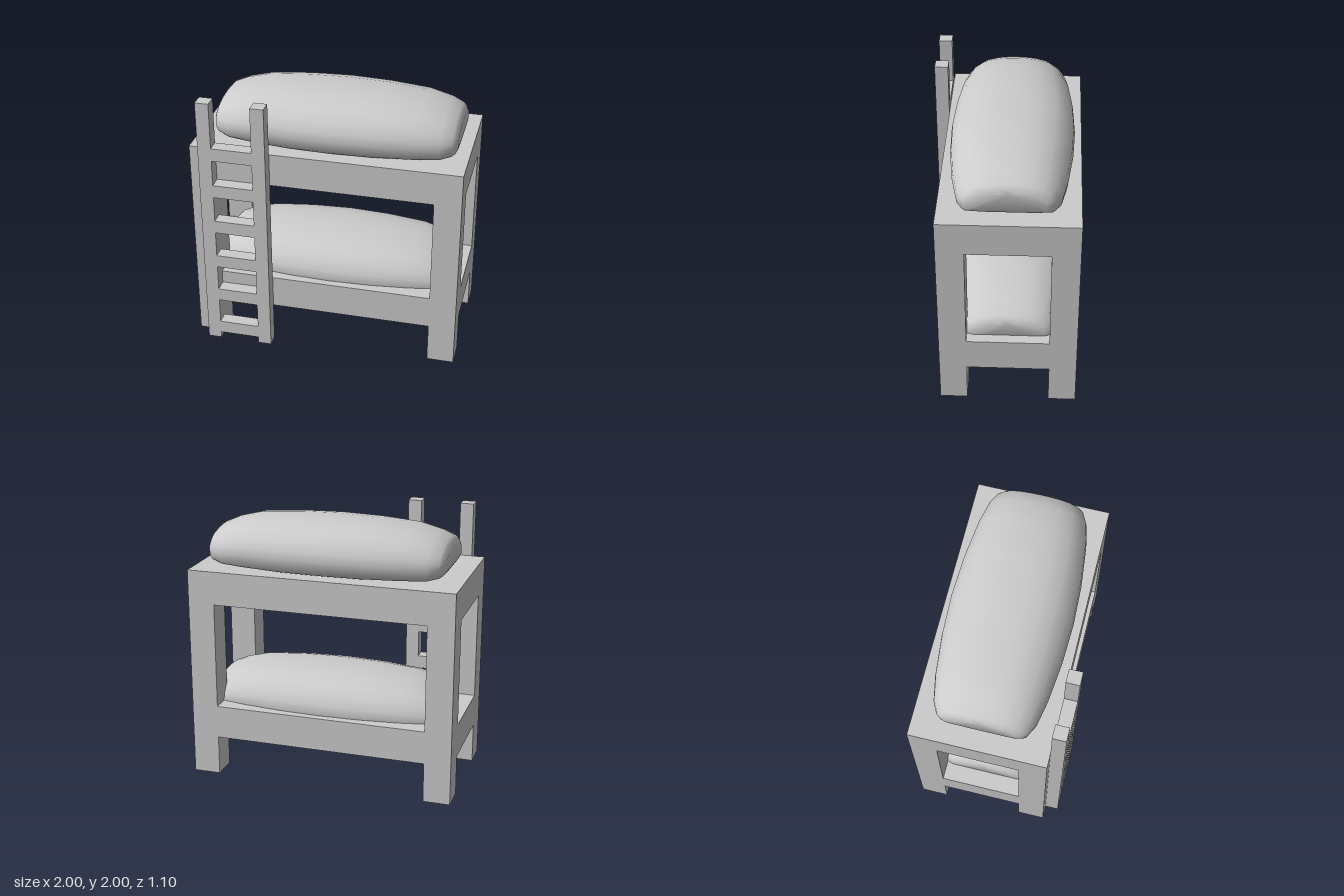
import * as THREE from 'three';
import { toCreasedNormals } from 'three/addons/utils/BufferGeometryUtils.js';

const grey = new THREE.MeshStandardMaterial({ color: 0xcccccc });
grey.name = 'plain grey';

// Box given by its minimum and maximum corners
function box(name, [x0, y0, z0], [x1, y1, z1]) {
  const mesh = new THREE.Mesh(new THREE.BoxGeometry(x1 - x0, y1 - y0, z1 - z0), grey);
  mesh.position.set((x0 + x1) / 2, (y0 + y1) / 2, (z0 + z1) / 2);
  mesh.name = name;
  return mesh;
}

// Puffy mattress lofted along x from one outline, scaled per station
function mattressGeometry() {
  // Half outline: [share of half width, share of height], top to bottom
  const half = [[0, 1], [0.22, 0.99], [0.44, 0.955], [0.69, 0.86], [0.87, 0.69], [0.98, 0.5],
    [1, 0.33], [0.97, 0.1], [0.91, 0.03], [0.5, 0]];
  const outline = [...half, [0, 0], ...half.slice(1).reverse().map(([u, v]) => [-u, v])];
  // Half of the stations: [x, half width, bottom, top]
  const ends = [[0.895, 0.26, 0.07, 0.2], [0.88, 0.3, 0.045, 0.235], [0.86, 0.325, 0.03, 0.255],
    [0.775, 0.367, 0.01, 0.29], [0.6, 0.402, 0.005, 0.333], [0.3, 0.435, 0, 0.353]];
  const stations = [...ends.map(([x, ...r]) => [-x, ...r]), [0, 0.447, 0, 0.36], ...ends.slice().reverse()];
  const n = outline.length, positions = [], index = [];
  for (const [x, w, bottom, top] of stations)
    for (const [u, v] of outline) positions.push(x, bottom + v * (top - bottom), u * w);
  for (let s = 0; s < stations.length - 1; s++)
    for (let i = 0; i < n; i++) {
      const a = s * n + i, b = s * n + (i + 1) % n;
      index.push(a, a + n, b, b, a + n, b + n);
    }
  // End caps
  const last = (stations.length - 1) * n;
  for (let i = 1; i < n - 1; i++) {
    index.push(0, i, i + 1);
    index.push(last, last + i + 1, last + i);
  }
  // Reverse the winding so that all faces point outwards
  for (let i = 0; i < index.length; i += 3) [index[i + 1], index[i + 2]] = [index[i + 2], index[i + 1]];
  const geometry = new THREE.BufferGeometry();
  geometry.setAttribute('position', new THREE.Float32BufferAttribute(positions, 3));
  geometry.setIndex(index);
  return toCreasedNormals(geometry, 0.9);
}

export function createModel() {
  const model = new THREE.Group();
  model.name = 'bunkBed';

  // Frame: two solid bed bases on four square posts
  const frame = new THREE.Group();
  frame.name = 'frame';
  frame.add(box('lowerBase', [-1, 0.3, -0.55], [1, 0.55, 0.45]));
  frame.add(box('upperBase', [-1, 1.35, -0.55], [1, 1.6, 0.45]));
  for (const x of [-1, 0.8])
    for (const z of [-0.55, 0.25]) {
      frame.add(box('foot', [x, 0, z], [x + 0.2, 0.3, z + 0.2]));
      frame.add(box('post', [x, 0.55, z], [x + 0.2, 1.35, z + 0.2]));
    }
  model.add(frame);

  // Ladder on the front
  const ladder = new THREE.Group();
  ladder.name = 'ladder';
  for (const x of [-0.9, -0.5]) ladder.add(box('ladderRail', [x, 0, 0.45], [x + 0.1, 2, 0.55]));
  for (let i = 0; i < 6; i++) {
    const y = 0.05 + 0.3 * i;
    ladder.add(box('rung', [-0.8, y, 0.45], [-0.5, y + 0.1, 0.55]));
  }
  model.add(ladder);

  // Mattresses: the lower one sinks into its base
  const geometry = mattressGeometry();
  for (const [name, y] of [['lowerMattress', 0.45], ['upperMattress', 1.602]]) {
    const mattress = new THREE.Mesh(geometry, grey);
    mattress.name = name;
    mattress.position.set(0.025, y, -0.05);
    model.add(mattress);
  }
  return model;
}
